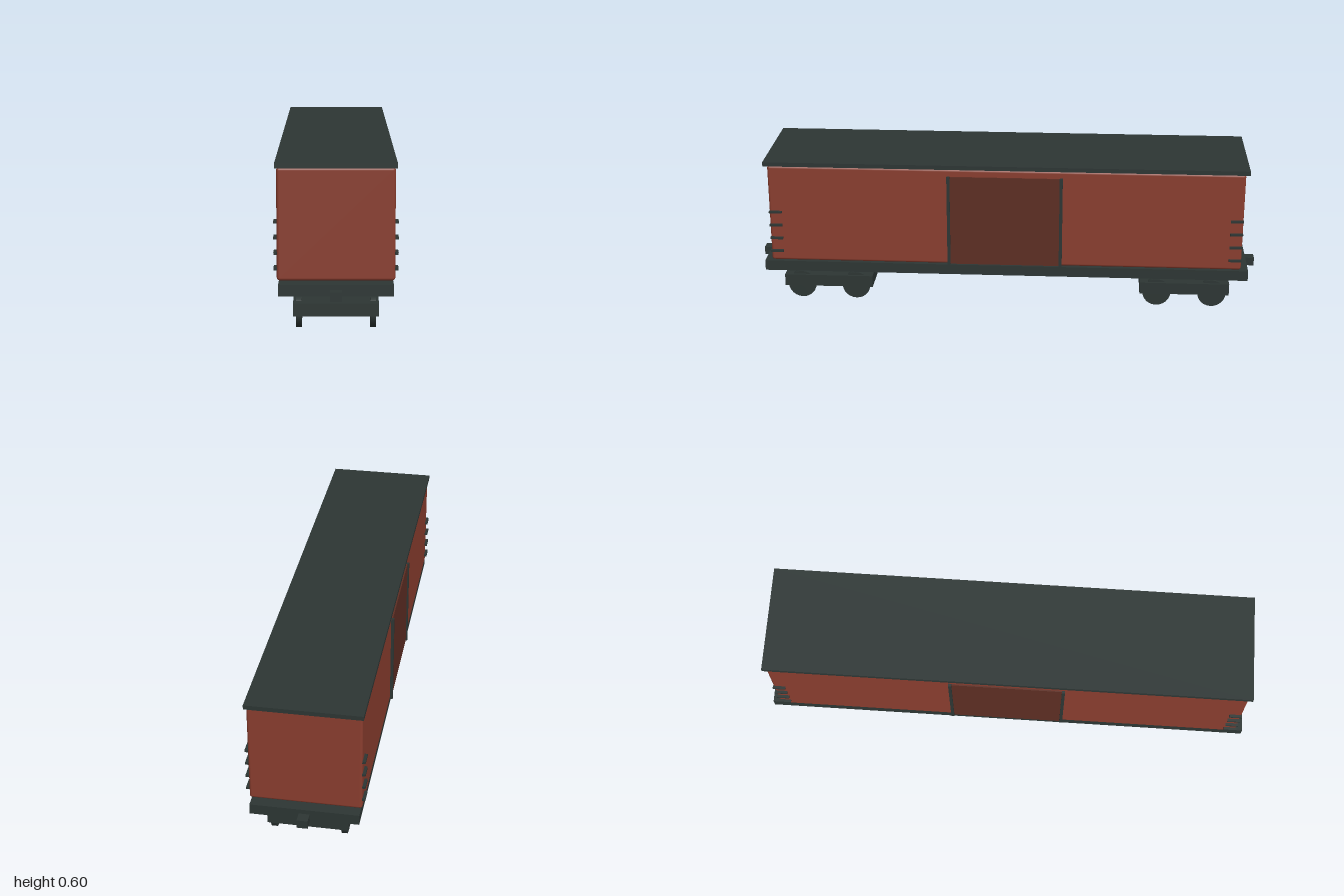
import * as THREE from 'three';
import { RoundedBoxGeometry } from 'three/addons/geometries/RoundedBoxGeometry.js';

const material = (name, color) => {
  const m = new THREE.MeshStandardMaterial({ color });
  m.name = name;
  return m;
};

export function createModel() {
  const model = new THREE.Group();
  model.name = 'boxcar';
  const red = material('oxide red', 0x8b3e2f);
  const brown = material('door brown', 0x5e2e23);
  const iron = material('dark iron', 0x2d3634);

  const add = (name, geometry, mat, x, y, z, parent = model) => {
    const mesh = new THREE.Mesh(geometry, mat);
    mesh.name = name;
    mesh.position.set(x, y, z);
    parent.add(mesh);
    return mesh;
  };
  const box = (w, h, d) => new THREE.BoxGeometry(w, h, d);

  // Body, roof and underframe
  add('body', new RoundedBoxGeometry(0.412, 0.397, 1.86, 2, 0.01), red, 0, 0.3865, 0);
  add('roof', box(0.424, 0.017, 1.89), iron, 0, 0.5935, 0);
  add('underframe', box(0.4, 0.041, 1.92), iron, 0, 0.1605, 0);

  // Sliding door with posts, and corner rungs, on both sides
  const postShape = box(0.012, 0.369, 0.012);
  const rungShape = box(0.012, 0.008, 0.05);
  for (const side of [-1, 1]) {
    add('door', box(0.008, 0.365, 0.43), brown, side * 0.207, 0.3725, 0);
    for (const end of [-1, 1]) {
      add('doorPost', postShape, iron, side * 0.211, 0.3725, end * 0.22);
      for (let i = 0; i < 4; i++) {
        add('ladderRung', rungShape, iron, side * 0.211, 0.23 + i * 0.0547, end * 0.905);
      }
    }
  }

  // Coupler and four-wheeled truck at each end
  const wheelShape = new THREE.CylinderGeometry(0.056, 0.056, 0.02, 24).rotateZ(Math.PI / 2);
  for (const end of [-1, 1]) {
    add('coupler', box(0.04, 0.033, 0.05), iron, 0, 0.1465, end * 0.975);
    const truck = new THREE.Group();
    truck.name = 'truck';
    truck.position.z = end * 0.716;
    model.add(truck);
    add('truckFrame', box(0.302, 0.047, 0.356), iron, 0, 0.0765, 0, truck);
    for (const x of [-0.131, 0.131]) {
      for (const z of [-0.11, 0.11]) add('wheel', wheelShape, iron, x, 0.056, z, truck);
    }
  }
  return model;
}
